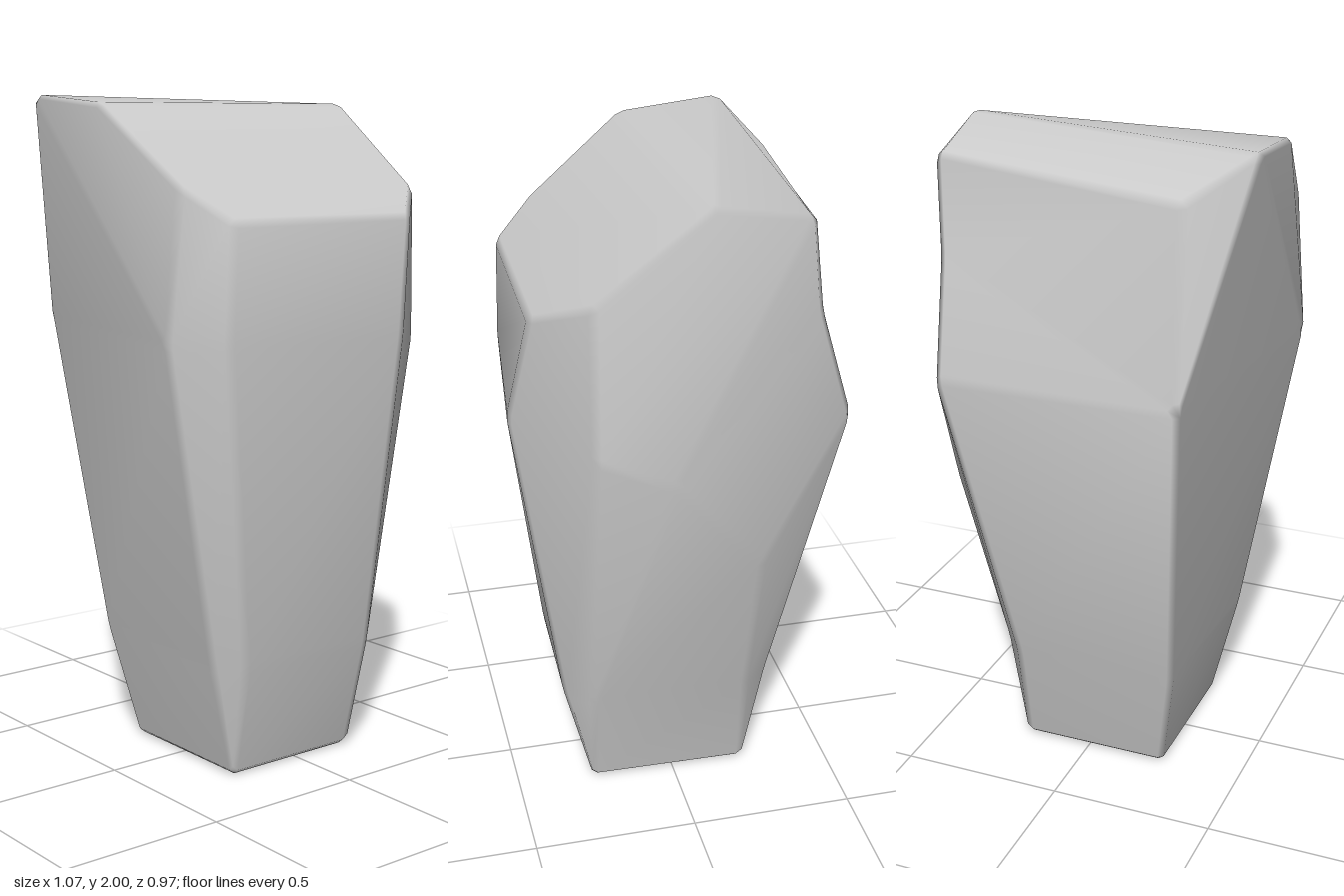
import * as THREE from 'three';

// Corner points of the stone, ring by ring from the base upwards
const corners = {
  // base
  b0: [-.25, 0, .26], b1: [.2, 0, .26], b2: [.21, 0, -.23], b3: [-.25, 0, -.23],
  // low ring
  l0: [-.26, .35, .335], l1: [.2, .35, .35], l2: [.28, .35, .27], l3: [.28, .35, -.22],
  l4: [.2, .35, -.315], l5: [-.31, .35, -.315], l6: [-.335, .35, .27],
  // widest ring, m3 is the bulge on the left side
  m0: [-.39, 1.32, .425], m1: [.2, 1.32, .49], m2: [.44, 1.27, .28], m3: [.54, 1.22, .075],
  m4: [.443, .88, -.21], m5: [.355, 1.3, -.49], m6: [-.38, 1.31, -.49], m7: [-.505, 1.31, .29],
  // shoulder
  s0: [-.37, 1.65, .42], s1: [.28, 1.655, .43], s2: [.433, 1.73, .28], s5: [.378, 1.64, -.385],
  s7: [-.465, 1.745, .3],
  // crown
  t0: [-.53, 1.975, 0], t1: [.437, 1.983, -.05], t2: [.4, 1.925, -.345],
  t3: [-.36, 1.875, -.43], t4: [-.54, 2.003, -.32],
};

// Facets, corners counter-clockwise from outside
const facets = [
  'b0 b3 b2 b1',                                               // underside
  'b0 b1 l1 l0', 'l0 l1 m1 m0', 'm0 m1 s1 s0',                 // front
  's0 s1 s2 t1 t0 s7',                                         // sloping front of the crown
  'b1 l2 l1', 'l1 l2 m2 m1', 'm1 m2 s2 s1',                    // front left chamfer
  'b1 b2 l3 l2', 'l2 l3 m4 m3', 'l2 m3 m2',                    // left side
  'm2 m3 t2 t1 s2', 'm3 s5 t2',                                // left side above the bulge
  'm4 m5 s5 m3', 'l3 l4 m5 m4', 'b2 l4 l3',                    // back left chamfer
  'b2 b3 l5 l4', 'l4 l5 m6 m5', 'm5 m6 s5', 's5 m6 t3 t2',     // back
  't2 t3 t4 t1', 't1 t4 t0', 'm6 t4 t3',                       // crown
  'b3 b0 l6 l5', 'l5 l6 m7 m6', 'm6 m7 t4', 'm7 s7 t0 t4',     // right side
  'b0 l0 l6', 'l6 l0 m0 m7', 'm7 m0 s0 s7',                    // front right chamfer
].map((f) => f.split(' '));

// Solid with softly rounded edges: each facet is inset, then edges and corners are bridged
function roundedSolid(points, faces, radius) {
  const P = {};
  for (const k in points) P[k] = new THREE.Vector3(...points[k]);
  const position = [], normal = [], index = [];
  const id = new Map();    // 'face corner' -> vertex index
  const owner = new Map(); // 'from to' -> face index
  const at = (f, k) => id.get(`${f} ${k}`);
  const polygon = (ids) => {
    for (let i = 1; i + 1 < ids.length; i++) index.push(ids[0], ids[i], ids[i + 1]);
  };
  const faceNormals = faces.map((face) => {
    const n = new THREE.Vector3();
    face.forEach((k, i) => n.add(P[k].clone().cross(P[face[(i + 1) % face.length]])));
    return n.normalize();
  });
  // shading blends across shallow edges and stays crisp across steep ones
  const softNormal = (f, k) => {
    const sum = new THREE.Vector3();
    faces.forEach((face, g) => {
      const near = Math.max(faceNormals[f].dot(faceNormals[g]), 0);
      if (face.includes(k)) sum.addScaledVector(faceNormals[g], near ** 6);
    });
    return sum.normalize();
  };

  faces.forEach((face, f) => {
    face.forEach((k, i) => {
      const next = face[(i + 1) % face.length];
      const prev = face[(i + face.length - 1) % face.length];
      const a = P[next].clone().sub(P[k]).normalize();
      const b = P[prev].clone().sub(P[k]).normalize();
      const sine = Math.max(a.clone().cross(b).length(), 0.1);
      const inset = a.add(b).multiplyScalar(radius / sine).clampLength(0, radius * 2);
      id.set(`${f} ${k}`, position.length / 3);
      position.push(...P[k].clone().add(inset).toArray());
      normal.push(...softNormal(f, k).toArray());
      owner.set(`${k} ${next}`, f);
    });
    polygon(face.map((k) => at(f, k)));
  });

  // edge strips
  for (const [edge, f] of owner) {
    const [a, b] = edge.split(' ');
    const g = owner.get(`${b} ${a}`);
    if (f < g) polygon([at(f, a), at(g, a), at(g, b), at(f, b)]);
  }

  // corner caps: walk around the facets that meet at each corner
  for (const k in P) {
    const start = faces.findIndex((face) => face.includes(k));
    const ring = [];
    let f = start;
    do {
      ring.unshift(at(f, k));
      const next = faces[f][(faces[f].indexOf(k) + 1) % faces[f].length];
      f = owner.get(`${next} ${k}`);
    } while (f !== start && ring.length < 12);
    polygon(ring);
  }

  const geometry = new THREE.BufferGeometry();
  geometry.setAttribute('position', new THREE.Float32BufferAttribute(position, 3));
  geometry.setAttribute('normal', new THREE.Float32BufferAttribute(normal, 3));
  geometry.setIndex(index);
  return geometry;
}

export function createModel() {
  const group = new THREE.Group();
  group.name = 'standingStone';
  const stone = new THREE.Mesh(
    roundedSolid(corners, facets, 0.016),
    new THREE.MeshStandardMaterial({ color: 0xcccccc }),
  );
  stone.name = 'stone';
  group.add(stone);
  return group;
}
